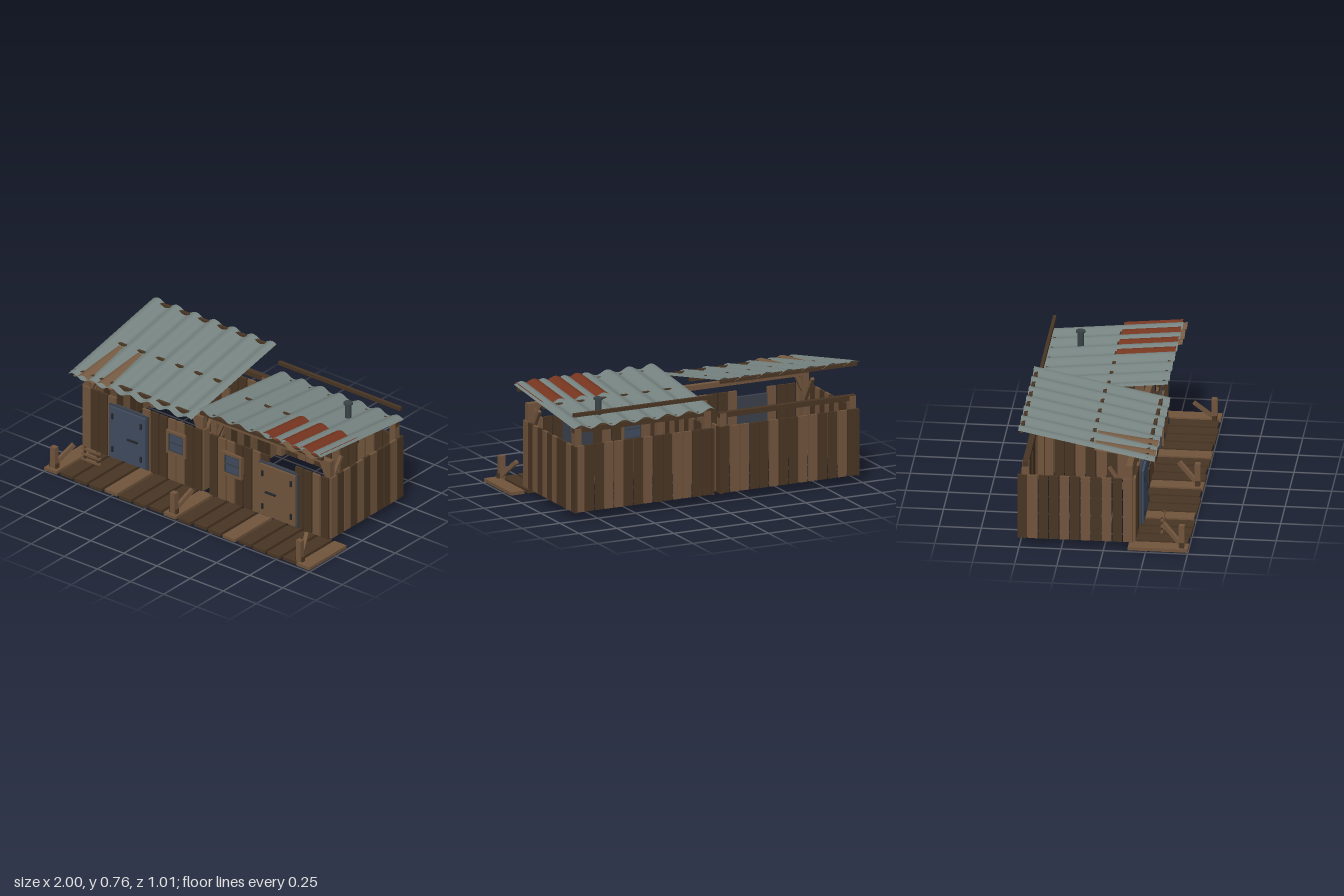
import * as THREE from 'three';

const mat = (name, color, double) => {
  const m = new THREE.MeshStandardMaterial({ color });
  m.name = name;
  if (double) m.side = THREE.DoubleSide;
  return m;
};

export function createModel() {
  const root = new THREE.Group();
  root.name = 'twinSheds';
  const light = mat('light wood', 0x70543c);
  const dark = mat('dark wood', 0x483523);
  const iron = mat('roof iron', 0x75827f, true);
  const rust = mat('rusty iron', 0x75351f, true);
  const brown = mat('brown iron', 0x755a42, true);
  const blue = mat('blue paint', 0x3f4c60);
  const slate = mat('slate trim', 0x3a404a);
  const black = mat('black metal', 0x23272b);
  const pipe = mat('pipe metal', 0x394246);

  const add = (parent, name, geo, m, x = 0, y = 0, z = 0) => {
    const mesh = new THREE.Mesh(geo, m);
    mesh.name = name;
    mesh.position.set(x, y, z);
    parent.add(mesh);
    return mesh;
  };
  const box = (parent, name, m, x, y, z, w, h, d) =>
    add(parent, name, new THREE.BoxGeometry(w, h, d), m, x, y, z);
  // Square bar between two points
  const bar = (parent, name, m, a, b, t) => {
    const p = new THREE.Vector3(...a), q = new THREE.Vector3(...b);
    const mesh = box(parent, name, m, 0, 0, 0, t, t, p.distanceTo(q));
    mesh.position.copy(p).add(q).multiplyScalar(0.5);
    mesh.lookAt(q);
    return mesh;
  };
  // Corrugated sheet from front edge (z0, y0) to back edge (z1, y1)
  const PITCH = 0.143;
  const sheet = (name, m, x0, x1, crest, z0, y0, z1, y1, amp = 0.013) => {
    const n = Math.ceil((x1 - x0) / PITCH * 12);
    const geo = new THREE.PlaneGeometry(1, 1, n, 1);
    const p = geo.attributes.position;
    for (let i = 0; i < p.count; i++) {
      const x = x0 + (p.getX(i) + 0.5) * (x1 - x0), t = p.getY(i) + 0.5;
      const wave = amp * Math.cos((x - crest) / PITCH * Math.PI * 2);
      p.setXYZ(i, x, y0 + (y1 - y0) * t + wave, z0 + (z1 - z0) * t);
    }
    geo.computeVertexNormals();
    return add(root, name, geo, m);
  };

  // Timber shell: plank walls, corner posts, top beams, corner braces
  const FRONT = 0.18, BACK = -0.49;
  const shed = (name, cx, top, seed, doorX, windowX) => {
    const g = new THREE.Group();
    g.name = name;
    root.add(g);
    const half = 0.452;
    for (let i = 0; i < 14; i++) {
      const x = cx - half + 0.034 + i * 0.0645;
      const shade = (k) => ((i * 5 + k) % 7 < 3 ? light : dark);
      if (Math.abs(x - doorX) > 0.11) {
        if (Math.abs(x - windowX) > 0.05) {
          box(g, 'frontPlank', shade(seed), x, 0.2525, FRONT, 0.055, 0.405, 0.015);
        } else {
          box(g, 'frontPlankLow', shade(seed), x, 0.147, FRONT, 0.055, 0.194, 0.015);
          box(g, 'frontPlankHigh', shade(seed), x, 0.415, FRONT, 0.055, 0.08, 0.015);
        }
      }
      box(g, 'backPlank', shade(seed + 2), x, 0.2525, BACK, 0.055, 0.405, 0.015);
    }
    for (const s of [-1, 1]) {
      for (let i = 0; i < 11; i++) {
        const m = [0, 2, 4, 6, 9].includes(i) ? light : dark;
        box(g, 'sidePlank', m, cx + s * half, 0.2525, 0.142 - i * 0.0625, 0.015, 0.405, 0.057);
      }
      for (const z of [0.15, -0.465])
        box(g, 'cornerPost', light, cx + s * 0.428, (top + 0.05) / 2, z, 0.042, top - 0.05, 0.042);
      bar(g, 'cornerBrace', light, [cx + s * 0.422, top - 0.13, 0.15], [cx + s * 0.37, top - 0.02, 0.15], 0.022);
      bar(g, 'cornerBrace', light, [cx + s * 0.422, top - 0.2, 0.15], [cx + s * 0.422, top - 0.02, 0.03], 0.02);
    }
    for (const z of [0.15, -0.465])
      box(g, 'topBeam', z > 0 ? light : dark, cx, top - 0.012, z, 0.9, 0.03, 0.036);
    return g;
  };

  const door = (parent, x, m, side) => {
    const g = new THREE.Group();
    g.name = 'door';
    g.position.set(x, 0.237, 0);
    parent.add(g);
    box(g, 'doorFrame', slate, 0, 0, 0.188, 0.29, 0.355, 0.022);
    box(g, 'doorPanel', m, 0, 0, 0.2, 0.27, 0.335, 0.026);
    for (const sx of [-1, 1]) for (const sy of [-1, 1])
      box(g, 'hinge', black, sx * 0.108, sy * 0.11, 0.216, 0.012, 0.036, 0.01);
    box(g, 'handle', black, side * 0.045, -0.007, 0.219, 0.075, 0.01, 0.012);
  };

  const windowUnit = (parent, x) => {
    const g = new THREE.Group();
    g.name = 'window';
    g.position.set(x, 0.308, 0.19);
    parent.add(g);
    box(g, 'glass', blue, 0, 0, -0.002, 0.125, 0.13, 0.008);
    for (const s of [-1, 1]) {
      box(g, 'frameSide', light, s * 0.065, 0, 0, 0.016, 0.15, 0.024);
      box(g, 'frameRail', light, 0, s * 0.068, 0, 0.146, 0.016, 0.024);
      box(g, 'trimSide', slate, s * 0.054, 0, 0, 0.008, 0.122, 0.016);
      box(g, 'trimRail', slate, 0, s * 0.056, 0, 0.115, 0.008, 0.016);
    }
    box(g, 'middleRail', slate, 0, 0, 0, 0.115, 0.01, 0.016);
  };

  const leftHut = shed('westShed', -0.515, 0.533, 1, -0.605, -0.247);
  door(leftHut, -0.605, blue, 1);
  windowUnit(leftHut, -0.247);
  const rightHut = shed('eastShed', 0.445, 0.558, 4, 0.527, 0.175);
  door(rightHut, 0.527, light, -1);
  windowUnit(rightHut, 0.175);

  // Roofs with overlapping patches
  sheet('westRoof', iron, -0.98, -0.05, -0.94, 0.302, 0.58, -0.507, 0.745);
  sheet('westRoofPatch', brown, -0.945, -0.66, -0.868, 0.3, 0.587, -0.06, 0.635);
  sheet('eastRoof', iron, -0.02, 0.91, 0.0085, 0.28, 0.648, -0.507, 0.57);
  sheet('rustPatch', rust, 0.455, 0.91, 0.498, 0.275, 0.654, -0.075, 0.62);
  sheet('brownPatch', brown, 0.6, 0.905, 0.64, 0.302, 0.64, 0.05, 0.608);

  // Purlins that show through the troughs of the sheets
  for (const [y, z] of [[0.586, 0.25], [0.643, -0.08], [0.731, -0.49]])
    box(root, 'westPurlin', dark, -0.515, y, z, 0.9, 0.022, 0.02);
  for (const [y, z] of [[0.622, 0.25], [0.595, -0.08], [0.645, -0.487]])
    box(root, 'eastPurlin', dark, 0.445, y, z, 0.92, 0.022, 0.02);

  // Stove pipe
  add(root, 'stovePipe', new THREE.CylinderGeometry(0.02, 0.02, 0.105, 16), pipe, 0.65, 0.622, -0.307);
  add(root, 'pipeCap', new THREE.CylinderGeometry(0.028, 0.028, 0.01, 16), pipe, 0.65, 0.674, -0.307);

  // Boardwalk
  const lightBoards = [0, 4, 8, 12, 17];
  for (let i = 0; i < 18; i++) {
    const end = [0.5, 0.49, 0.498][i % 3];
    box(root, 'walkBoard', lightBoards.includes(i) ? light : dark,
      -0.954 + i * 0.1122, 0.019, (end + 0.145) / 2, 0.092, 0.02, end - 0.145);
  }

  // Boardwalk posts with slanted braces
  for (const [x, bx] of [[-0.955, -0.9], [-0.05, -0.005], [0.9, 0.86]]) {
    box(root, 'walkPost', light, x, 0.0825, 0.462, 0.036, 0.165, 0.034);
    box(root, 'walkPostFoot', dark, x, 0.03, 0.462, 0.055, 0.06, 0.028);
    bar(root, 'walkBrace', light, [x, 0.05, 0.45], [bx, 0.15, 0.345], 0.024);
  }

  // Small slatted rack
  for (const y of [0.068, 0.104, 0.14])
    box(root, 'rackSlat', light, -0.78, y, 0.332, 0.14, 0.014, 0.014);
  for (const x of [-0.83, -0.73])
    box(root, 'rackUpright', dark, x, 0.1, 0.329, 0.014, 0.1, 0.012);

  return root;
}
